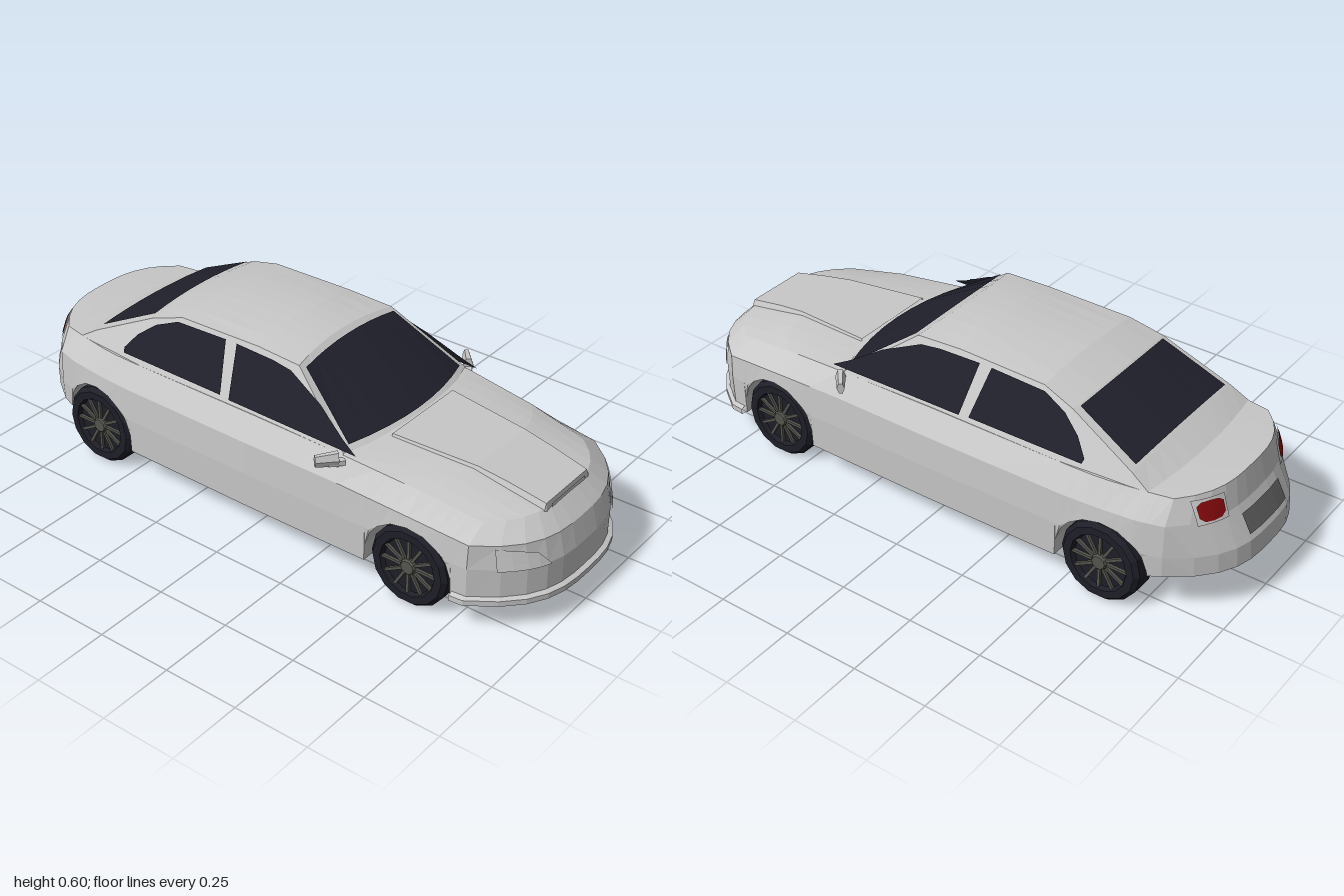
import * as THREE from 'three';

const paint = (name, color) =>
  Object.assign(new THREE.MeshStandardMaterial({ color, side: THREE.DoubleSide, flatShading: true }), { name });
const { lerp, clamp } = THREE.MathUtils;

// Flat shaded surface through rows of points
function grid(rows) {
  const pos = [];
  for (let i = 0; i + 1 < rows.length; i++)
    for (let j = 0; j + 1 < rows[i].length; j++) {
      const a = rows[i][j], b = rows[i][j + 1], c = rows[i + 1][j + 1], d = rows[i + 1][j];
      pos.push(...a, ...b, ...c, ...a, ...c, ...d);
    }
  const g = new THREE.BufferGeometry();
  g.setAttribute('position', new THREE.Float32BufferAttribute(pos, 3));
  g.computeVertexNormals();
  return g;
}

// Linear interpolation in a table sorted by descending or ascending first entry
function sample(table, v) {
  for (let i = 0; i + 1 < table.length; i++) {
    const a = table[i], b = table[i + 1];
    if ((v - a[0]) * (v - b[0]) <= 0) {
      const f = (v - a[0]) / (b[0] - a[0]);
      return a.map((n, k) => lerp(n, b[k], f));
    }
  }
  return Math.abs(v - table[0][0]) < Math.abs(v - table.at(-1)[0]) ? table[0] : table.at(-1);
}

const range = (a, b, n) => Array.from({ length: n + 1 }, (_, i) => lerp(a, b, i / n));
const WHEEL_Z = [0.6, -0.63], ARCH = 0.148;

// z, belt half-width, shoulder half-width, shoulder y, centre y, centre bulge, bottom y, belt y
const KEYS = [
  [0.80, 0.345, 0.27, 0.34, 0.345, 0.11, 0.1, 0.30],
  [0.60, 0.36, 0.295, 0.375, 0.398, 0.08, 0.1, 0.32],
  [0.35, 0.363, 0.315, 0.40, 0.415, 0.04, 0.1, 0.33],
  [0, 0.365, 0.315, 0.405, 0.415, 0, 0.1, 0.33],
  [-0.5, 0.36, 0.313, 0.405, 0.412, 0, 0.1, 0.33],
  [-0.6, 0.354, 0.31, 0.405, 0.41, 0, 0.1, 0.33],
  [-0.74, 0.338, 0.285, 0.403, 0.41, -0.04, 0.135, 0.33],
  [-0.82, 0.315, 0.27, 0.405, 0.415, -0.1, 0.15, 0.33],
];

// One closed cross-section of the lower body, with the wheel wells notched in
function section(z) {
  const [, w, sw, sy, cy, bulge, yb, belt] = sample(KEYS, z);
  let a = yb;
  for (const c of WHEEL_Z) if (Math.abs(z - c) < ARCH) a = Math.max(a, 0.135 + Math.sqrt(ARCH ** 2 - (z - c) ** 2));
  const half = [[0, yb, z], [0.24, yb, z], [0.24, a, z], [w - 0.004, a, z],
    [w, Math.max(a, 0.22), z], [w - 0.004, belt, z]];
  for (const t of range(1, 0, 6))
    half.push([sw * t, lerp(sy, cy, 1 - t * t), z + bulge * (1 - t ** 3)]);
  return [...half, ...half.slice(0, -1).reverse().map(([x, y, q]) => [-x, y, q])];
}

// Rounded ends: centre y, edge y, half-width, bulge
const NOSE = { z: 0.80, rows: [[0.1, 0.1, 0.341, 0.185], [0.215, 0.22, 0.345, 0.185],
  [0.29, 0.30, 0.341, 0.165], [0.345, 0.34, 0.27, 0.11]] };
const TAIL = { z: -0.82, rows: [[0.165, 0.15, 0.311, -0.18], [0.23, 0.22, 0.315, -0.175],
  [0.33, 0.33, 0.311, -0.12], [0.415, 0.405, 0.27, -0.1]] };

function endCap({ z, rows }) {
  const ts = range(-1, 1, 12);
  const pts = rows.map(([yc, ye, w, b]) =>
    ts.map(t => [w * t, lerp(ye, yc, 1 - t * t), z + b * (1 - Math.abs(t) ** 3)]));
  return grid([ts.map(t => [rows[0][2] * t, rows[0][1], z]), ...pts]);
}

// Thin panel lying on an end cap: columns of x, low y, high y
function endPanel(cap, cols, lift = 0.006) {
  const out = Math.sign(cap.z) * lift;
  const at = (x, y) => {
    const [, , w, b] = sample(cap.rows, y);
    return [x, y, cap.z + b * (1 - Math.min(1, Math.abs(x) / w) ** 3) + out];
  };
  return grid(cols.map(([x, lo, hi]) => range(lo, hi, 3).map(y => at(x, y))));
}

// Cabin: side plane and rows running from windscreen base to boot
const sideX = (y, z) => 0.313 - 0.48 * (y - 0.405) - 0.03 * clamp((-z - 0.55) / 0.2, 0, 1);
// centre y, centre z, edge y, edge z
const CABIN = [[0.41, 0.4, 0.405, 0.34], [0.595, 0.09, 0.578, 0.11], [0.605, -0.05, 0.585, -0.05],
  [0.594, -0.35, 0.58, -0.35], [0.56, -0.47, 0.548, -0.46], [0.452, -0.69, 0.44, -0.685], [0.405, -0.78, 0.4, -0.75]];

function cabinPoint(row, t) {
  const [cy, cz, ey, ez] = row, f = 1 - t * t;
  return [sideX(ey, ez) * t, lerp(ey, cy, f), lerp(ez, cz, f)];
}

function cabinGlass(a, b, v0, v1, inset, ny, nz) {
  return grid([v0, v1].map(v => range(-inset, inset, 8).map(t => {
    const p = cabinPoint(a, t), q = cabinPoint(b, t);
    return [lerp(p[0], q[0], v), lerp(p[1], q[1], v) + ny, lerp(p[2], q[2], v) + nz];
  })));
}

// Side glass from a z,y outline laid on the side plane
function sideGlass(outline, s) {
  const g = new THREE.ShapeGeometry(new THREE.Shape(outline.map(p => new THREE.Vector2(...p))));
  const p = g.attributes.position;
  for (let i = 0; i < p.count; i++) {
    const z = p.getX(i), y = p.getY(i);
    p.setXYZ(i, s * (sideX(y, z) + 0.005), y, z);
  }
  g.computeVertexNormals();
  return g;
}

export function createModel() {
  const car = new THREE.Group();
  car.name = 'car';
  const silver = paint('silver paint', 0xc8c8c8), lens = paint('headlight lens', 0xd0d0d0);
  const glass = paint('dark glass', 0x20202c), rubber = paint('tyre rubber', 0x1e1e28);
  const metal = paint('wheel metal', 0x55554f), red = paint('tail light red', 0x8c0a0e);
  const grey = paint('plate grey', 0x646464);
  const add = (name, geometry, material, parent = car) => {
    const m = new THREE.Mesh(geometry, material);
    m.name = name;
    parent.add(m);
    return m;
  };

  // Lower body and rounded ends
  const stations = [0.8, 0.35, 0.2, 0, -0.25, -0.82];
  for (const c of WHEEL_Z)
    for (const d of [0, 0.055, 0.1, 0.13, 0.146, 0.1485]) stations.push(c + d, ...(d ? [c - d] : []));
  stations.sort((a, b) => b - a);
  add('lowerBody', grid(stations.map(section)), silver);
  add('nose', endCap(NOSE), silver);
  add('tail', endCap(TAIL), silver);

  // Front lip
  const lip = [[0.124, 0], [0.118, 0.015], [0.1, 0.015], [0.1, -0.01]].map(([y, o]) => {
    const arc = range(-1, 1, 12).map(t => [(0.343 + o) * t, y, 0.8 + (0.185 + o) * (1 - Math.abs(t) ** 3)]);
    return [[-0.347 - o, y, 0.755], ...arc, [0.347 + o, y, 0.755]];
  });
  add('frontLip', grid(lip), silver);

  // Raised hood panel with scoop front: z, half-width, y
  const hood = [[0.4, 0.155, 0.418], [0.68, 0.125, 0.404], [0.78, 0.118, 0.388], [0.905, 0.11, 0.362]];
  const hoodRows = hood.map(([z, w, y]) => [[-w - 0.012, y - 0.03, z], [-w, y, z], [w, y, z], [w + 0.012, y - 0.03, z]]);
  hoodRows.push([[-0.122, 0.332, 0.908], [-0.11, 0.334, 0.91], [0.11, 0.334, 0.91], [0.122, 0.332, 0.908]]);
  add('hoodScoop', grid(hoodRows), silver);
  add('scoopOpening', grid([0.341, 0.355].map(y => [[-0.09, y, 0.912], [0.09, y, 0.912]])), lens);

  // Cabin shell
  add('roof', grid(CABIN.map(r => range(-1, 1, 8).map(t => cabinPoint(r, t)))), silver);
  add('windscreen', cabinGlass(CABIN[0], CABIN[1], 0.06, 0.93, 0.925, 0.005, 0.003), glass);
  add('rearWindow', cabinGlass(CABIN[4], CABIN[5], 0.03, 0.96, 0.91, 0.005, -0.003), glass);

  const frontPane = [[0.385, 0.413], [0.33, 0.44], [0.22, 0.505], [0.09, 0.56], [0.02, 0.568], [-0.125, 0.572], [-0.1, 0.418]];
  const rearPane = [[-0.135, 0.422], [-0.168, 0.572], [-0.36, 0.567], [-0.44, 0.535], [-0.5, 0.49], [-0.54, 0.44], [-0.535, 0.425]];

  for (const s of [1, -1]) {
    const side = s > 0 ? 'left' : 'right';
    // Cabin sides and windows
    add(side + 'CabinSide', grid(CABIN.map(([, , y, z]) =>
      [[s * sideX(y, z), y, z], [s * sideX(0.395, z), 0.395, z]])), silver);
    add(side + 'FrontWindow', sideGlass(frontPane, s), glass);
    add(side + 'RearWindow', sideGlass(rearPane, s), glass);

    // Lights
    add(side + 'Headlight', endPanel(NOSE, [[0.168, 0.215, 0.22], [0.2, 0.215, 0.262], [0.23, 0.215, 0.272],
      [0.265, 0.215, 0.281], [0.298, 0.215, 0.29]].map(([x, a, b]) => [s * x, a, b])), lens);
    add(side + 'TailLightFrame', endPanel(TAIL, range(0.15, 0.245, 4).map(x => [s * x, 0.322, 0.398]), 0.005), lens);
    add(side + 'TailLight', endPanel(TAIL, [[0.16, 0.345, 0.38], [0.175, 0.332, 0.39], [0.2, 0.33, 0.392],
      [0.225, 0.332, 0.39], [0.238, 0.345, 0.38]].map(([x, a, b]) => [s * x, a, b]), 0.008), red);

    // Door mirror
    const mirror = new THREE.Group();
    mirror.name = side + 'Mirror';
    const shell = add('mirrorShell', new THREE.CylinderGeometry(0.02, 0.027, 0.07, 6), silver, mirror);
    shell.rotation.z = -s * Math.PI / 2;
    shell.scale.z = 0.6;
    add('mirrorStalk', new THREE.BoxGeometry(0.05, 0.016, 0.02), silver, mirror).position.set(-s * 0.03, -0.012, 0);
    mirror.position.set(s * 0.362, 0.398, 0.315);
    mirror.rotation.y = s * 0.7;
    car.add(mirror);

    // Wheels
    for (const z of WHEEL_Z) {
      const wheel = new THREE.Group();
      wheel.name = side + (z > 0 ? 'FrontWheel' : 'RearWheel');
      const profile = [[0, -0.045], [0.135, -0.045], [0.135, 0.03], [0.122, 0.045], [0.097, 0.045], [0.09, 0.03], [0, 0.03]];
      add('tyre', new THREE.LatheGeometry(profile.map(p => new THREE.Vector2(...p)), 14), rubber, wheel);
      for (let i = 0; i < 12; i++) {
        const a = i * Math.PI / 6;
        const spoke = add('spoke', new THREE.BoxGeometry(0.068, 0.01, 0.009), metal, wheel);
        spoke.position.set(Math.cos(a) * 0.06, 0.034, Math.sin(a) * 0.06);
        spoke.rotation.y = -a;
      }
      add('hub', new THREE.CylinderGeometry(0.022, 0.03, 0.016, 10), metal, wheel).position.y = 0.036;
      wheel.rotation.z = -s * Math.PI / 2;
      wheel.position.set(s * 0.306, 0.135, z);
      car.add(wheel);
    }
  }

  // Rear plate
  add('rearPlate', endPanel(TAIL, range(-0.105, 0.105, 4).map(x => [x, 0.25, 0.31])), grey);
  return car;
}
